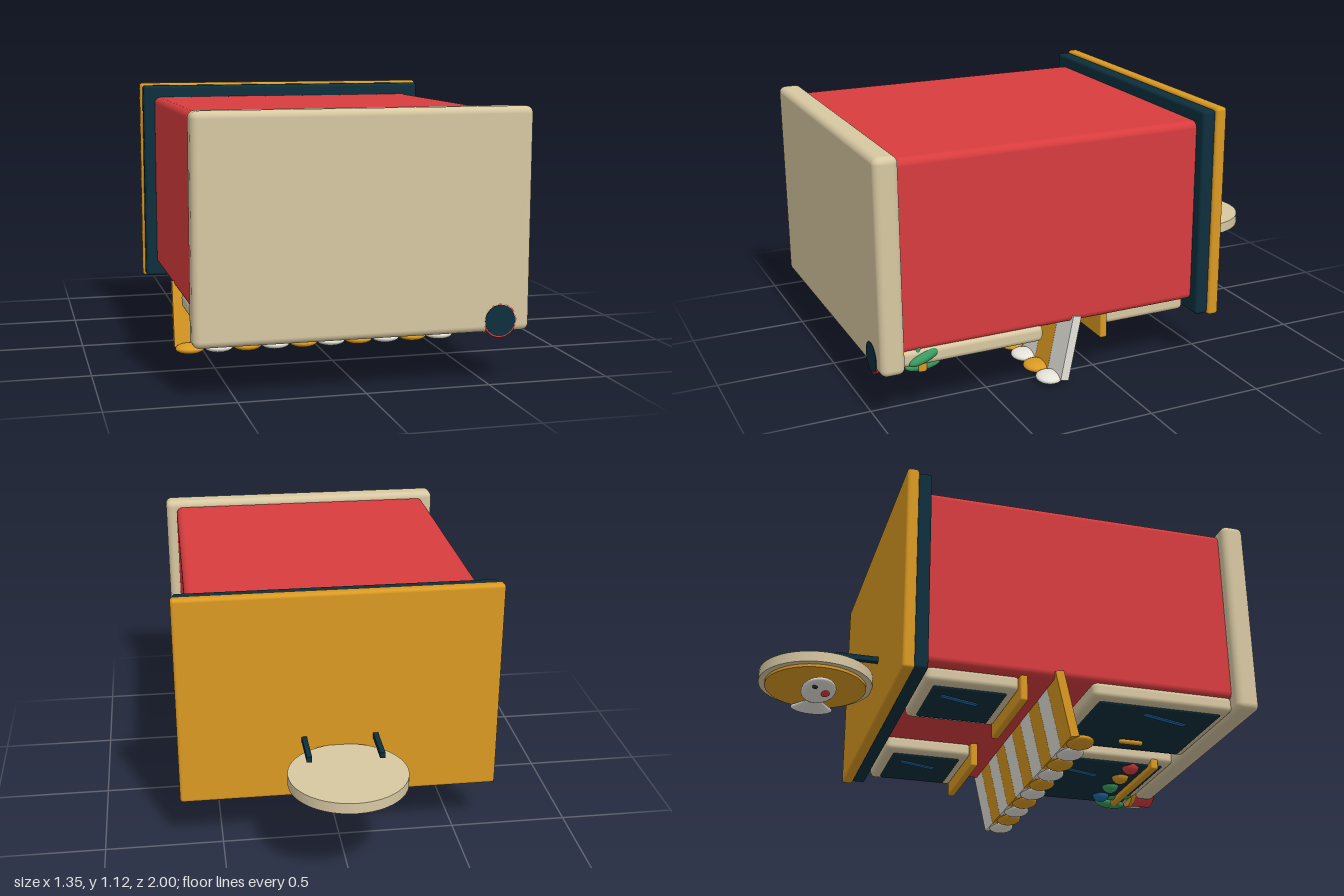
import * as THREE from 'three';
import { RoundedBoxGeometry } from 'three/addons/geometries/RoundedBoxGeometry.js';

const mat = (name, color) => new THREE.MeshStandardMaterial({ name, color });

// A small shop lying on its face: its roof points to -z and its shopfront to -y.
export function createModel() {
  const model = new THREE.Group();
  model.name = 'shop';
  const cream = mat('cream', 0xd8c8a2), red = mat('red', 0xd83c3e), navy = mat('navy', 0x0e2f3d);
  const gold = mat('gold', 0xdb9a22), white = mat('white', 0xe6e3da);
  const blue = mat('blue', 0x2369a8), green = mat('green', 0x3a9a5f);

  const add = (name, geometry, material, x, y, z, parent = model) => {
    const mesh = new THREE.Mesh(geometry, material);
    mesh.name = name;
    mesh.position.set(x, y, z);
    parent.add(mesh);
    return mesh;
  };
  // Rounded box from its lower and upper corners
  const block = (name, material, [x0, y0, z0], [x1, y1, z1], radius) =>
    add(name, new RoundedBoxGeometry(x1 - x0, y1 - y0, z1 - z0, 4, radius), material,
      (x0 + x1) / 2, (y0 + y1) / 2, (z0 + z1) / 2);
  const ellipsoid = (name, material, pos, scale, parent = model) => {
    const mesh = add(name, new THREE.SphereGeometry(1, 24, 16), material, ...pos, parent);
    mesh.scale.set(...scale);
    return mesh;
  };

  // Walls, plinth and roof cornice
  block('walls', red, [-0.615, 0.272, -0.43], [0.615, 1.06, 0.915], 0.03);
  block('plinth', cream, [-0.665, 0.208, 0.9], [0.665, 1.087, 1], 0.028);
  block('cornice', navy, [-0.665, 0.218, -0.412], [0.665, 1.113, -0.465], 0.001).geometry =
    new RoundedBoxGeometry(1.33, 0.895, 0.06, 4, 0.014);
  block('roofCap', gold, [-0.675, 0.21, -0.515], [0.675, 1.123, -0.465], 0.014);

  // Framed glass with a slanted glint
  const glazing = (name, x, w, z0, z1, border, glintX, glintZ, glintLength) => {
    block(name + 'Frame', cream, [x - w / 2, 0.213, z0], [x + w / 2, 0.285, z1], 0.024);
    block(name + 'Glass', navy, [x - w / 2 + border, 0.204, z0 + border],
      [x + w / 2 - border, 0.23, z1 - border], 0.008);
    const glint = add(name + 'Glint', new THREE.BoxGeometry(0.02, 0.008, glintLength), blue, glintX, 0.203, glintZ);
    glint.rotation.y = 0.3;
  };
  for (const s of [-1, 1]) {
    glazing('upperWindow', s * 0.38, 0.39, -0.4, -0.013, 0.042, s * 0.38 - 0.06, -0.23, 0.17);
    block('windowSill', gold, [s * 0.38 - 0.215, 0.165, -0.016], [s * 0.38 + 0.215, 0.285, 0.016], 0.008);
  }
  glazing('door', -0.34, 0.53, 0.29, 0.905, 0.04, -0.475, 0.65, 0.22);
  glazing('displayWindow', 0.32, 0.6, 0.29, 0.905, 0.04, 0.2, 0.5, 0.22);

  // Door handle
  const handle = add('doorHandle', new THREE.CapsuleGeometry(0.011, 0.09, 6, 14), gold, -0.23, 0.19, 0.595);
  handle.rotation.x = Math.PI / 2;

  // Display shelf and fruit
  block('displayShelf', gold, [0.02, 0.18, 0.795], [0.61, 0.23, 0.83], 0.008);
  [red, gold, green, blue].forEach((m, i) =>
    ellipsoid('fruit', m, [0.1 + i * 0.13, 0.212, 0.725], [0.04, 0.04, 0.04]));

  // Striped awning with scalloped edge
  for (let i = 0; i < 10; i++) {
    const m = i % 2 ? white : gold, x = -0.5625 + i * 0.125;
    const stripe = add('awningStripe', new THREE.BoxGeometry(0.124, 0.285, 0.037), m, x, 0.16, 0.169);
    stripe.rotation.x = -0.204;
    ellipsoid('awningScallop', m, [x, 0.022, 0.24], [0.0625, 0.022, 0.055]);
  }

  // Plant pot beside the shop window
  const pot = new THREE.Group();
  pot.name = 'plantPot';
  pot.position.set(0.54, 0.255, 0);
  model.add(pot);
  const body = add('potBody', new THREE.CylinderGeometry(0.07, 0.068, 0.1, 28), red, 0, 0, 0.95, pot);
  const rim = add('potRim', new THREE.CylinderGeometry(0.075, 0.075, 0.018, 28), gold, 0, 0, 0.893, pot);
  const foot = add('potFoot', new THREE.CylinderGeometry(0.062, 0.062, 0.008, 28), navy, 0, 0, 0.998, pot);
  for (const part of [body, rim, foot]) part.rotation.x = -Math.PI / 2;
  // Leaves as [x, y, z, pitch, yaw]
  for (const [x, y, z, pitch, yaw] of [
    [0.03, -0.057, 0.8, 0, 0.15], [0.065, -0.005, 0.8, 0.3, 0.25],
    [-0.04, -0.04, 0.8, 0.1, -0.35], [0.06, 0.015, 0.835, 1.2, 0.2]]) {
    const small = pitch > 1;
    const leaf = ellipsoid('leaf', green, [x, y, z],
      small ? [0.018, 0.012, 0.045] : [0.032, 0.024, 0.08], pot);
    leaf.rotation.set(pitch, yaw, 0);
  }

  // Round roof sign with its two brackets
  const cz = -0.755;
  add('signDisc', new THREE.CylinderGeometry(0.245, 0.245, 0.046, 48), cream, 0, 0.42, cz);
  add('signFace', new THREE.CylinderGeometry(0.218, 0.218, 0.016, 48), gold, 0, 0.392, cz);
  for (const s of [-1, 1])
    add('signBracket', new THREE.BoxGeometry(0.022, 0.024, 0.2), navy, s * 0.15, 0.478, -0.595);

  // Fish on the sign
  ellipsoid('fishBody', white, [-0.03, 0.362, cz + 0.01], [0.125, 0.028, 0.075]);
  const tail = add('fishTail', new THREE.ConeGeometry(0.092, 0.13, 24), white, 0.115, 0.365, cz + 0.01);
  tail.rotation.z = Math.PI / 2;
  tail.scale.set(0.3, 1, 1);
  ellipsoid('fishFin', red, [-0.06, 0.336, cz + 0.035], [0.03, 0.01, 0.018]);
  ellipsoid('fishEye', navy, [-0.105, 0.344, cz - 0.015], [0.012, 0.01, 0.012]);
  return model;
}
